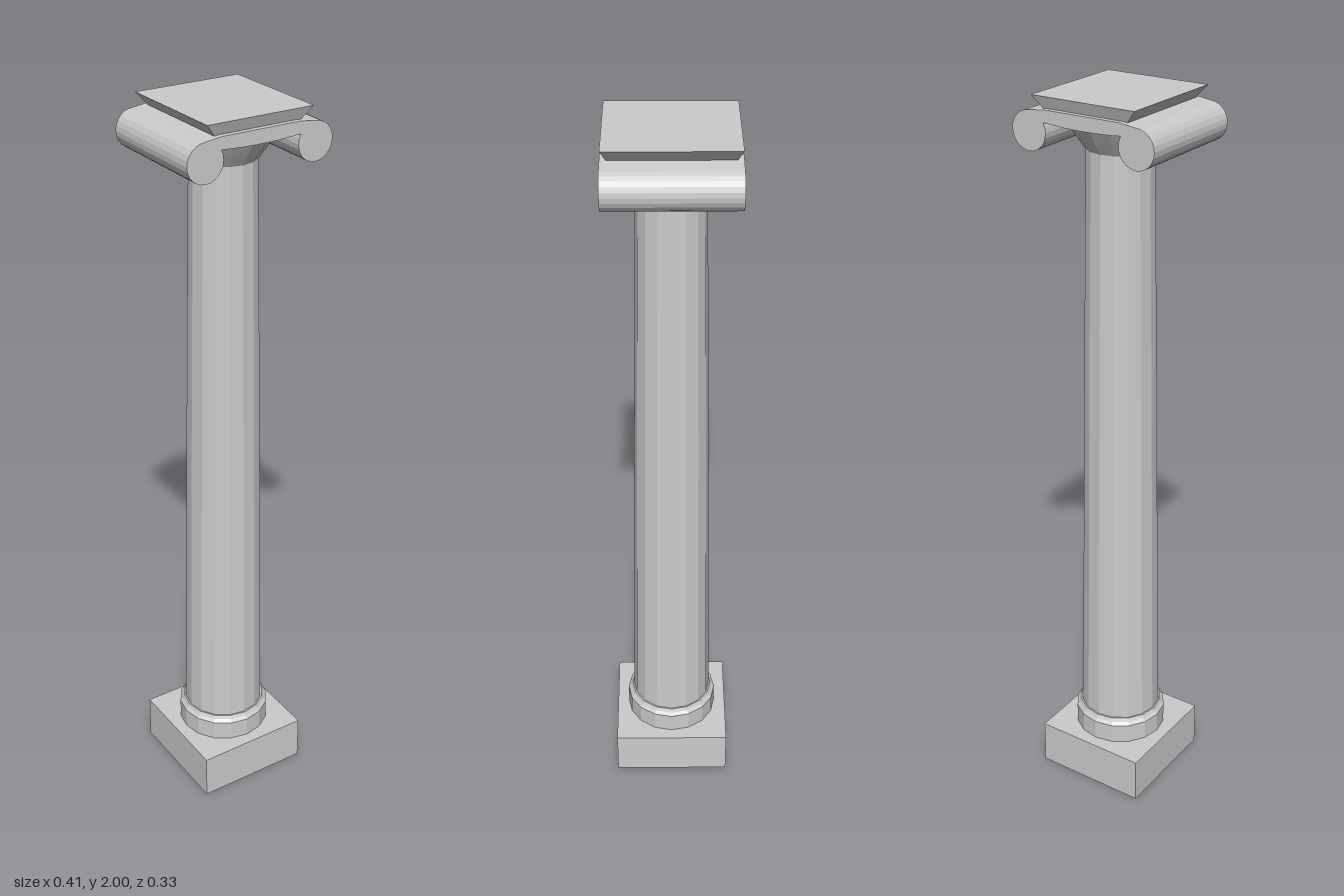
import * as THREE from 'three';

const material = new THREE.MeshStandardMaterial({ color: 0xcccccc, flatShading: true });
const SIDES = 16;

export function createModel() {
  const column = new THREE.Group();
  column.name = 'column';

  const add = (name, geometry, y = 0) => {
    const mesh = new THREE.Mesh(geometry, material);
    mesh.name = name;
    mesh.position.y = y;
    column.add(mesh);
    return mesh;
  };
  // Turned part from [radius, height] pairs, bottom to top
  const turned = (name, profile) =>
    add(name, new THREE.LatheGeometry(profile.map(([r, y]) => new THREE.Vector2(r, y)), SIDES));

  // Square plinth
  add('plinth', new THREE.BoxGeometry(0.326, 0.13, 0.326), 0.065);

  // Base ring, tapered shaft and flared neck
  turned('baseRing', [[0, 0.125], [0.13, 0.125], [0.13, 0.187], [0.122, 0.195], [0.117, 0.205], [0, 0.205]]);
  turned('shaft', [[0.113, 0.2], [0.107, 0.6], [0.1, 1.1], [0.087, 1.865]]);
  turned('neck', [[0, 1.86], [0.088, 1.86], [0.112, 1.895], [0.14, 1.938], [0, 1.945]]);

  // Scroll: a thin sagging band whose ends roll down into two volutes
  const cx = 0.155, cy = 1.913, r = 0.05, depth = 0.33;
  const inner = THREE.MathUtils.degToRad(150);
  const scroll = new THREE.Shape();
  scroll.moveTo(-cx, cy + r);
  scroll.lineTo(-0.11, 1.969);
  scroll.lineTo(0.11, 1.969);
  scroll.lineTo(cx, cy + r);
  scroll.absarc(cx, cy, r, Math.PI / 2, inner - Math.PI * 2, true);
  scroll.quadraticCurveTo(0, 1.928, -cx - r * Math.cos(inner), cy + r * Math.sin(inner));
  scroll.absarc(-cx, cy, r, Math.PI - inner, Math.PI / 2 - Math.PI * 2, true);
  const scrollGeometry = new THREE.ExtrudeGeometry(scroll, { depth, bevelEnabled: false, curveSegments: 10 });
  scrollGeometry.translate(0, 0, -depth / 2);
  add('scroll', scrollGeometry);

  // Top slab, narrowing towards its underside
  const slab = new THREE.BoxGeometry(0.296, 0.036, 0.326);
  const p = slab.attributes.position;
  for (let i = 0; i < p.count; i++) {
    if (p.getY(i) < 0) p.setXYZ(i, p.getX(i) * 0.8, p.getY(i), p.getZ(i) * 0.91);
  }
  slab.computeVertexNormals();
  add('topSlab', slab, 1.982);

  return column;
}
